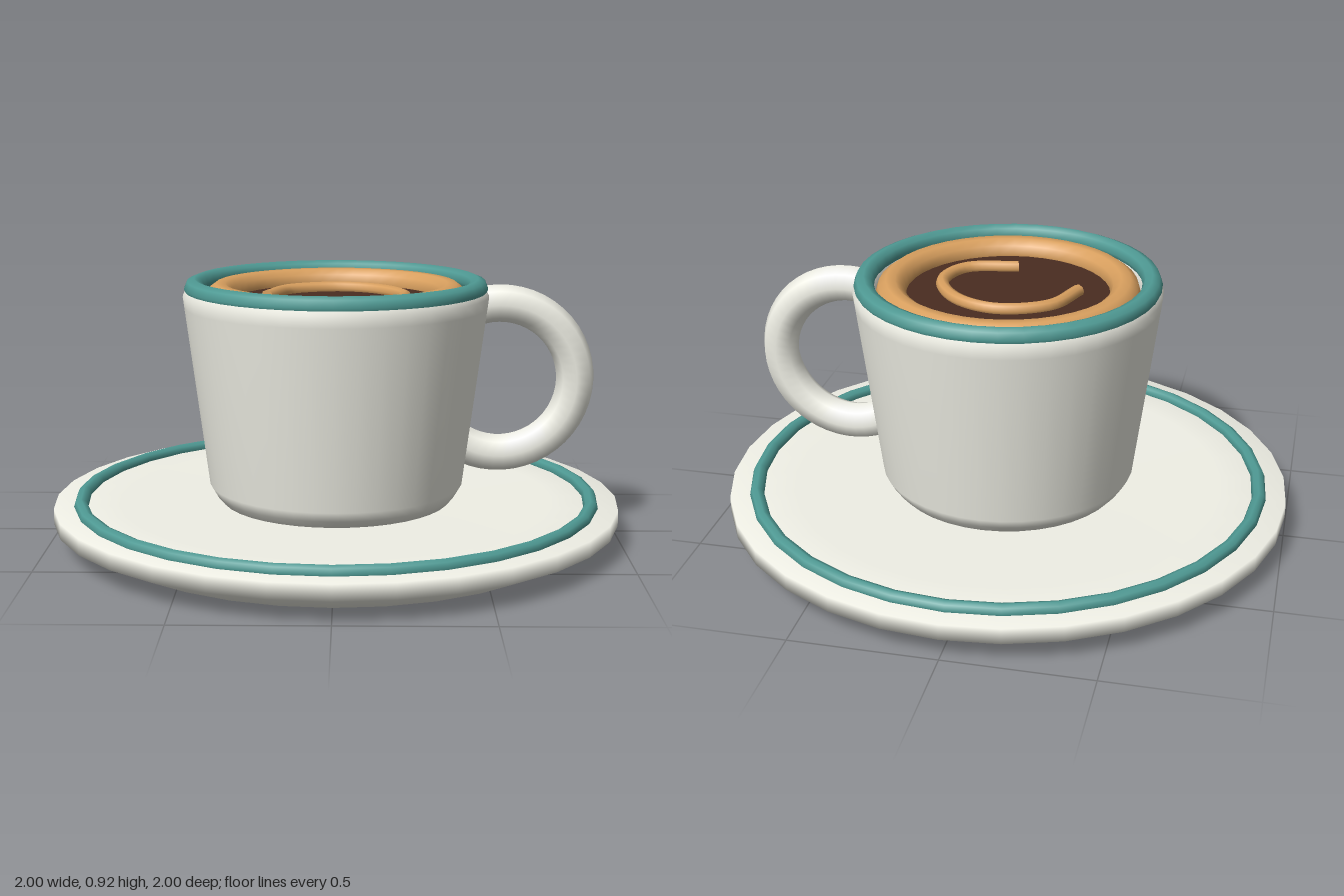
import * as THREE from 'three';

const glaze = new THREE.MeshStandardMaterial({ color: 0xf0f0e6, side: THREE.DoubleSide });
const teal = new THREE.MeshStandardMaterial({ color: 0x4f9a94 });
const crema = new THREE.MeshStandardMaterial({ color: 0xd9a05f });
const coffee = new THREE.MeshStandardMaterial({ color: 0x4a2c20 });

export function createModel() {
  const group = new THREE.Group();

  const add = (name, geometry, material, y = 0) => {
    const mesh = new THREE.Mesh(geometry, material);
    mesh.name = name;
    mesh.position.y = y;
    group.add(mesh);
    return mesh;
  };
  const lathe = (points, segments) =>
    new THREE.LatheGeometry(points.map(([r, y]) => new THREE.Vector2(r, y)), segments);
  const ring = (radius, tube, sides, segments) =>
    new THREE.TorusGeometry(radius, tube, sides, segments).rotateX(-Math.PI / 2);

  // Saucer with a sloping underside and a soft outer edge
  add('saucer', lathe([
    [0, 0], [0.84, 0], [1, 0.075], [1, 0.13], [0.77, 0.13], [0, 0.125],
  ], 32), glaze);
  add('saucerBand', ring(0.905, 0.025, 8, 32), teal, 0.135);

  // Hollow tapered cup, outside then inside
  add('cup', lathe([
    [0, 0.12], [0.4, 0.12], [0.43, 0.155], [0.45, 0.19], [0.53, 0.82], [0.535, 0.86],
    [0.515, 0.895], [0.475, 0.895], [0.46, 0.85], [0.39, 0.24], [0.34, 0.19], [0, 0.19],
  ], 40), glaze);
  add('cupRim', ring(0.495, 0.035, 8, 40), teal, 0.885);

  // Handle: an open loop whose ends sink into the cup wall
  const start = THREE.MathUtils.degToRad(-122);
  const sweep = THREE.MathUtils.degToRad(227);
  const handle = add('handle',
    new THREE.TorusGeometry(0.268, 0.066, 8, 32, sweep).rotateZ(start), glaze, 0.56);
  handle.position.x = 0.575;

  // Drink: dark surface, foam ring and a curl of foam
  add('coffee', new THREE.CircleGeometry(0.42, 40).rotateX(-Math.PI / 2), coffee, 0.845);
  add('foamRing', ring(0.404, 0.053, 10, 40), crema, 0.85);

  const curl = new THREE.CatmullRomCurve3([
    [-0.24, 0.035], [-0.17, -0.12], [0, -0.19], [0.15, -0.13],
    [0.24, 0.03], [0.19, 0.165], [0.01, 0.215],
  ].map(([x, z]) => new THREE.Vector3(x, 0, z)));
  add('foamCurl', new THREE.TubeGeometry(curl, 40, 0.023, 8), crema, 0.855);
  for (const t of [0, 1]) {
    const cap = add('foamCurlEnd', new THREE.CircleGeometry(0.023, 8), crema);
    const direction = curl.getTangent(t).multiplyScalar(t ? 1 : -1);
    cap.quaternion.setFromUnitVectors(new THREE.Vector3(0, 0, 1), direction);
    cap.position.copy(curl.getPoint(t)).setY(0.855);
  }

  return group;
}
